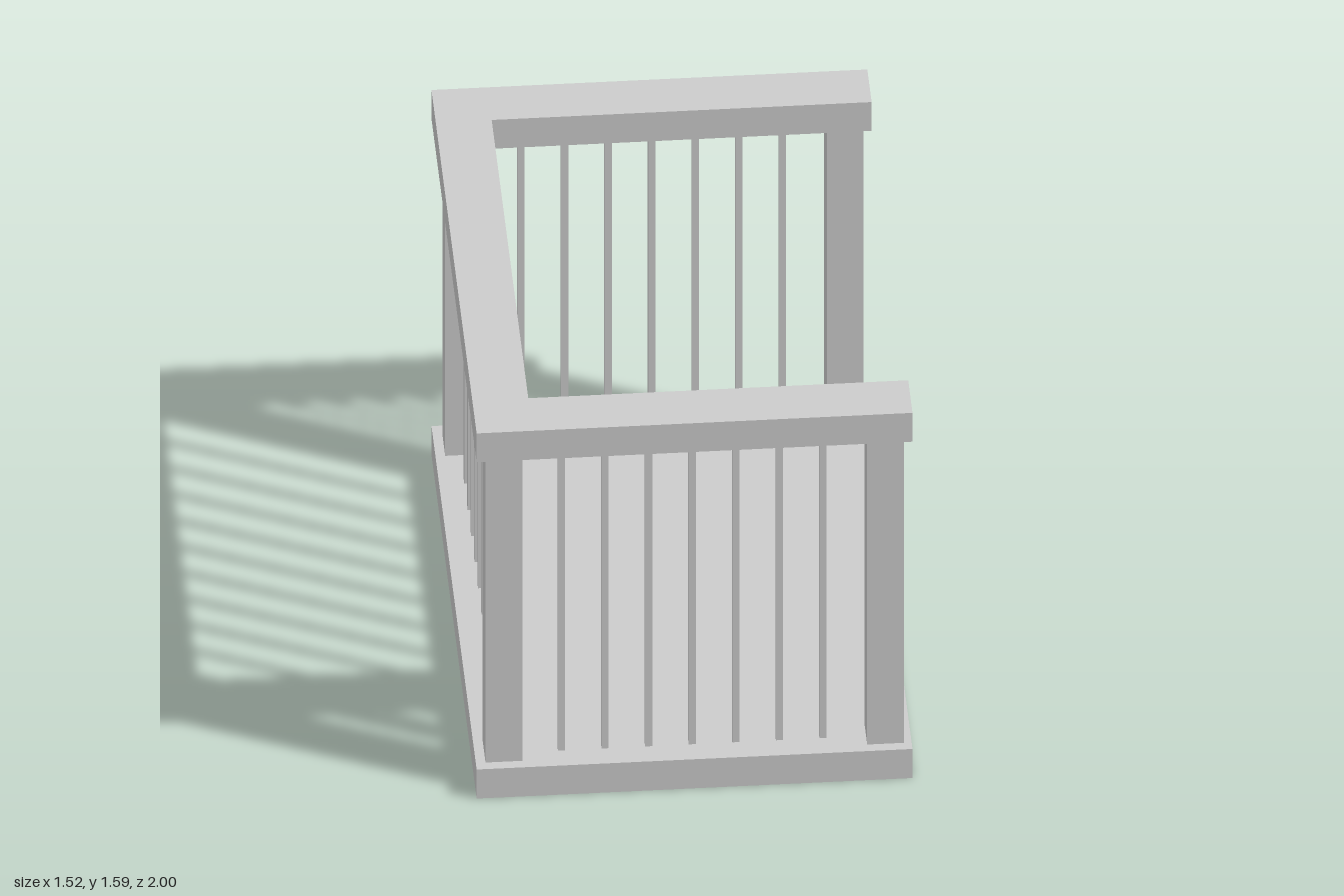
import * as THREE from 'three';

const material = new THREE.MeshStandardMaterial({ color: 0xcccccc, flatShading: true });

const BASE_TOP = 0.126, RAIL_BOTTOM = 1.46, RAIL_TOP = 1.585;

function box(parent, name, w, h, d, x, y, z) {
  const mesh = new THREE.Mesh(new THREE.BoxGeometry(w, h, d), material);
  mesh.name = name;
  mesh.position.set(x, y, z);
  parent.add(mesh);
}

export function createModel() {
  const group = new THREE.Group();
  group.name = 'railedPlatform';

  // floor slab
  box(group, 'floor', 1.52, BASE_TOP, 2, 0, BASE_TOP / 2, 0);

  // U-shaped handrail, open towards +x
  const outline = [[-0.76, -1], [0.76, -1], [0.76, -0.81], [-0.565, -0.81],
    [-0.565, 0.81], [0.76, 0.81], [0.76, 1], [-0.76, 1]];
  const shape = new THREE.Shape(outline.map(([x, y]) => new THREE.Vector2(x, y)));
  const railGeometry = new THREE.ExtrudeGeometry(shape, { depth: RAIL_TOP - RAIL_BOTTOM, bevelEnabled: false });
  railGeometry.rotateX(-Math.PI / 2);
  const rail = new THREE.Mesh(railGeometry, material);
  rail.name = 'handrail';
  rail.position.y = RAIL_BOTTOM;
  group.add(rail);

  // uprights between floor and handrail
  const height = RAIL_BOTTOM - BASE_TOP;
  const midY = (RAIL_BOTTOM + BASE_TOP) / 2;
  const upright = (name, size, x, z) => box(group, name, size, height, size, x, midY, z);

  // corner posts
  for (const x of [-0.662, 0.669])
    for (const z of [-0.888, 0.898]) upright('cornerPost', 0.128, x, z);

  // thin bars along the front and back
  for (const z of [-0.89, 0.9])
    for (let i = 0; i < 7; i++) upright('endBar', 0.025, -0.457 + i * 0.152, z);

  // thin bars along the closed side
  for (let i = 0; i < 10; i++) upright('sideBar', 0.025, -0.66, 0.7 - i * 0.1522);

  return group;
}
